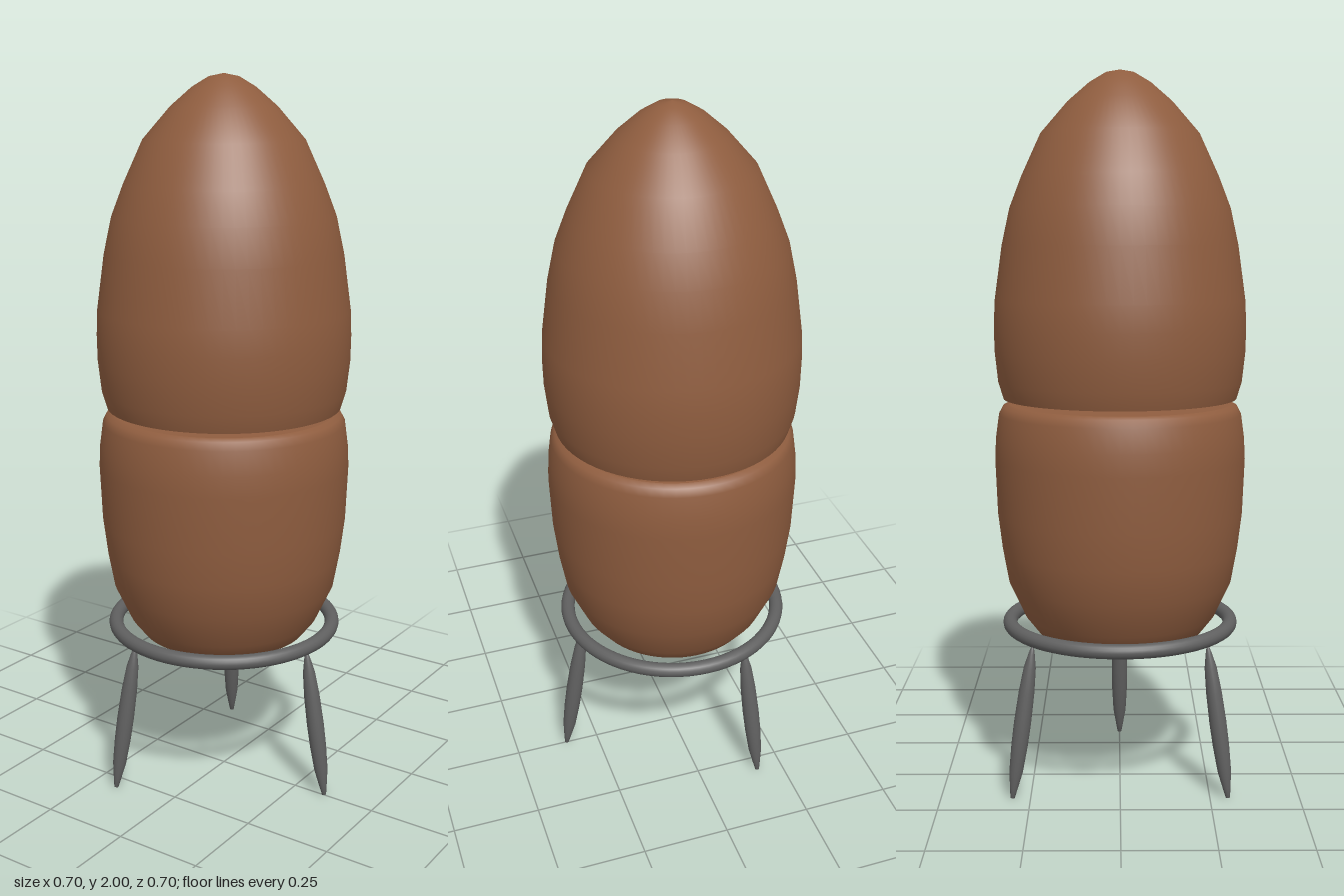
import * as THREE from 'three';

const brown = new THREE.MeshStandardMaterial({ color: 0x8f5d3f });
brown.name = 'brown';
const grey = new THREE.MeshStandardMaterial({ color: 0x606060 });
grey.name = 'grey';

// Profiles are [radius, height] pairs running from bottom to top along the outside
function lathe(name, profile, material, segments = 64) {
  const points = profile.map(([r, y]) => new THREE.Vector2(r, y));
  const mesh = new THREE.Mesh(new THREE.LatheGeometry(points, segments), material);
  mesh.name = name;
  return mesh;
}

export function createModel() {
  const model = new THREE.Group();
  model.name = 'egg on stand';

  // Upper shell: pointed dome with a nearly flat underside
  const upper = new THREE.Group();
  upper.name = 'upperShell';
  upper.add(
    lathe('upperDome', [
      [0.325, 1.108], [0.339, 1.155], [0.348, 1.24], [0.349, 1.31], [0.346, 1.38],
      [0.325, 1.53], [0.303, 1.63], [0.27, 1.715], [0.217, 1.83], [0.143, 1.915],
      [0.085, 1.965], [0.04, 1.992], [0, 2],
    ], brown),
    lathe('upperUnderside', [[0, 1.1], [0.1, 1.102], [0.325, 1.108]], brown),
  );
  model.add(upper);

  // Lower shell: rounded cup with a shallow base and a slightly raised top
  const lower = new THREE.Group();
  lower.name = 'lowerShell';
  lower.add(
    lathe('lowerCup', [
      [0, 0.42], [0.165, 0.425], [0.235, 0.447], [0.27, 0.492], [0.315, 0.59],
      [0.332, 0.685], [0.344, 0.785], [0.35, 0.94], [0.347, 1.0], [0.338, 1.065],
      [0.327, 1.086], [0.31, 1.093],
    ], brown),
    lathe('lowerTop', [[0.31, 1.093], [0.1, 1.102], [0, 1.103]], brown),
  );
  model.add(lower);

  // Support ring
  const ring = new THREE.Mesh(new THREE.TorusGeometry(0.313, 0.02, 16, 72), grey);
  ring.name = 'supportRing';
  ring.rotation.x = Math.PI / 2;
  ring.position.y = 0.468;
  model.add(ring);

  // Three splayed spindle legs, one on the left and two to the right
  const top = new THREE.Vector3(0.28, 0.43, 0);
  const foot = new THREE.Vector3(0.347, 0.002, 0);
  const axis = top.clone().sub(foot);
  const length = axis.length();
  const spindle = [
    [0, 0], [0.006, 0.005], [0.011, 0.07], [0.019, 0.18], [0.023, 0.35],
    [0.024, 0.5], [0.022, 0.7], [0.017, 0.86], [0.009, 0.95], [0.004, 0.995], [0, 1],
  ].map(([r, t]) => [r, t * length]);
  for (let i = 0; i < 3; i++) {
    const pivot = new THREE.Group();
    pivot.name = `leg${i + 1}`;
    const leg = lathe('spindle', spindle, grey, 20);
    leg.position.copy(foot);
    leg.quaternion.setFromUnitVectors(new THREE.Vector3(0, 1, 0), axis.clone().normalize());
    pivot.add(leg);
    pivot.rotation.y = (i * Math.PI * 2) / 3;
    model.add(pivot);
  }

  return model;
}
